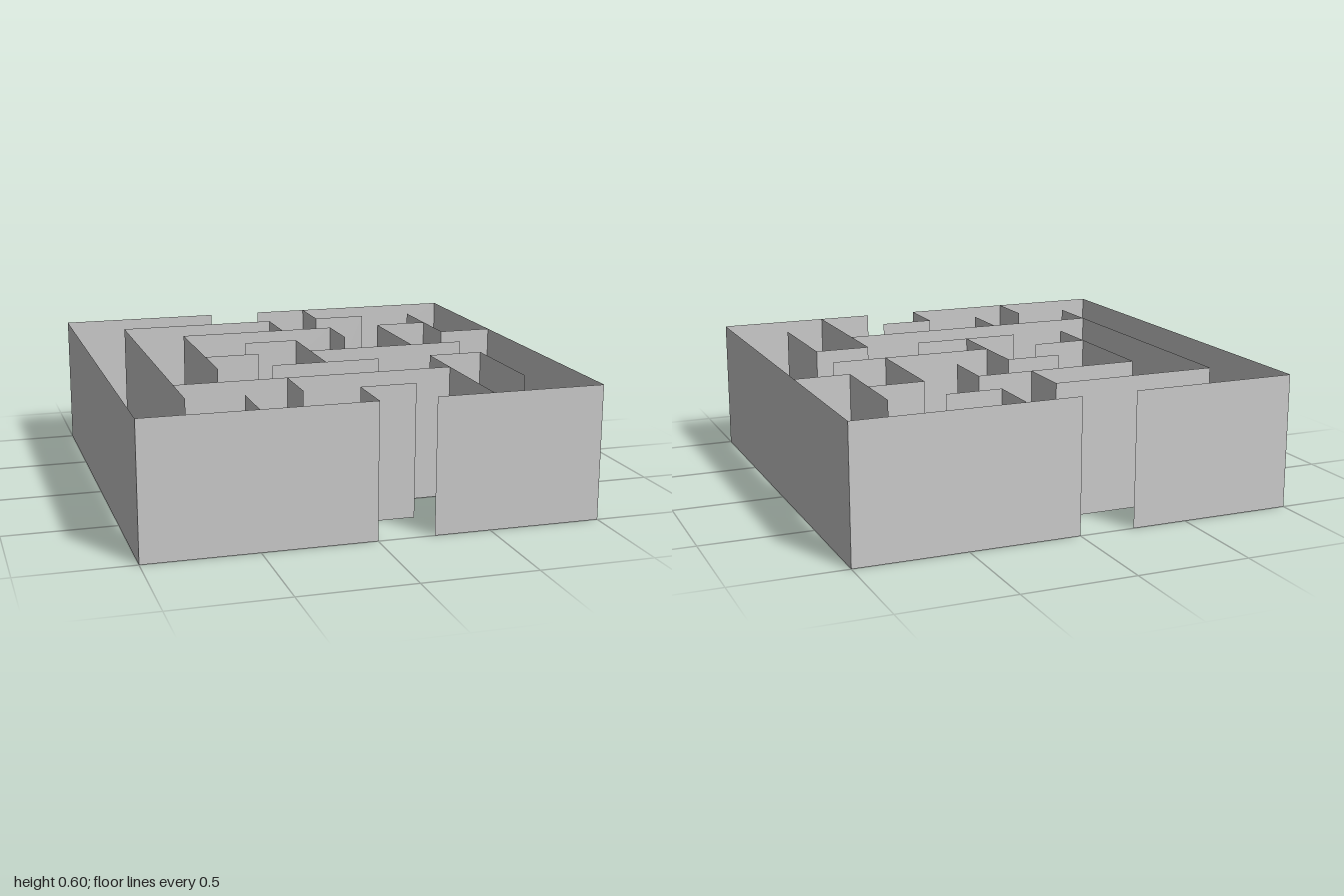
import * as THREE from 'three';

const CELL = 0.25;   // maze grid: 8 x 8 cells
const HALF = 4;      // half the grid, in cells
const HEIGHT = 0.6;

// Walls across x: [row z, from column, to column], counted from the back left corner
const outerAcross = [[0, 0, 3], [0, 4, 8], [8, 0, 4], [8, 5, 8]];
const innerAcross = [
  [1, 1, 4], [1, 5, 6],
  [2, 2, 5], [2, 6, 7],
  [3, 3, 4], [3, 7, 8],
  [4, 2, 3], [4, 4, 7],
  [5, 3, 5], [5, 6, 7],
  [6, 1, 6],
  [7, 4, 5],
];

// Walls along z: [column x, from row, to row]
const outerAlong = [[0, 0, 8], [8, 0, 8]];
const innerAlong = [
  [1, 1, 7],
  [2, 2, 5], [2, 7, 8],
  [3, 6, 7],
  [4, 1, 2], [4, 3, 5], [4, 7, 8],
  [5, 0, 1], [5, 2, 3],
  [6, 2, 4], [6, 5, 8],
  [7, 1, 3], [7, 5, 7],
];

export function createModel() {
  const model = new THREE.Group();
  model.name = 'maze';
  const material = new THREE.MeshStandardMaterial({
    color: 0xcccccc, side: THREE.DoubleSide, flatShading: true,
  });

  // Paper-thin upright walls on the grid lines
  function addWalls(name, walls, alongZ) {
    const group = new THREE.Group();
    group.name = name;
    for (const [line, from, to] of walls) {
      const wall = new THREE.Mesh(new THREE.PlaneGeometry((to - from) * CELL, HEIGHT), material);
      const across = (line - HALF) * CELL;
      const middle = ((from + to) / 2 - HALF) * CELL;
      wall.name = 'wall';
      wall.position.set(alongZ ? across : middle, HEIGHT / 2, alongZ ? middle : across);
      if (alongZ) wall.rotation.y = Math.PI / 2;
      group.add(wall);
    }
    model.add(group);
  }

  // Outer walls, with an entrance at the front and an exit at the back
  addWalls('frontAndBackWalls', outerAcross, false);
  addWalls('sideWalls', outerAlong, true);

  // Inner partitions
  addWalls('crossPartitions', innerAcross, false);
  addWalls('lengthwisePartitions', innerAlong, true);

  return model;
}
